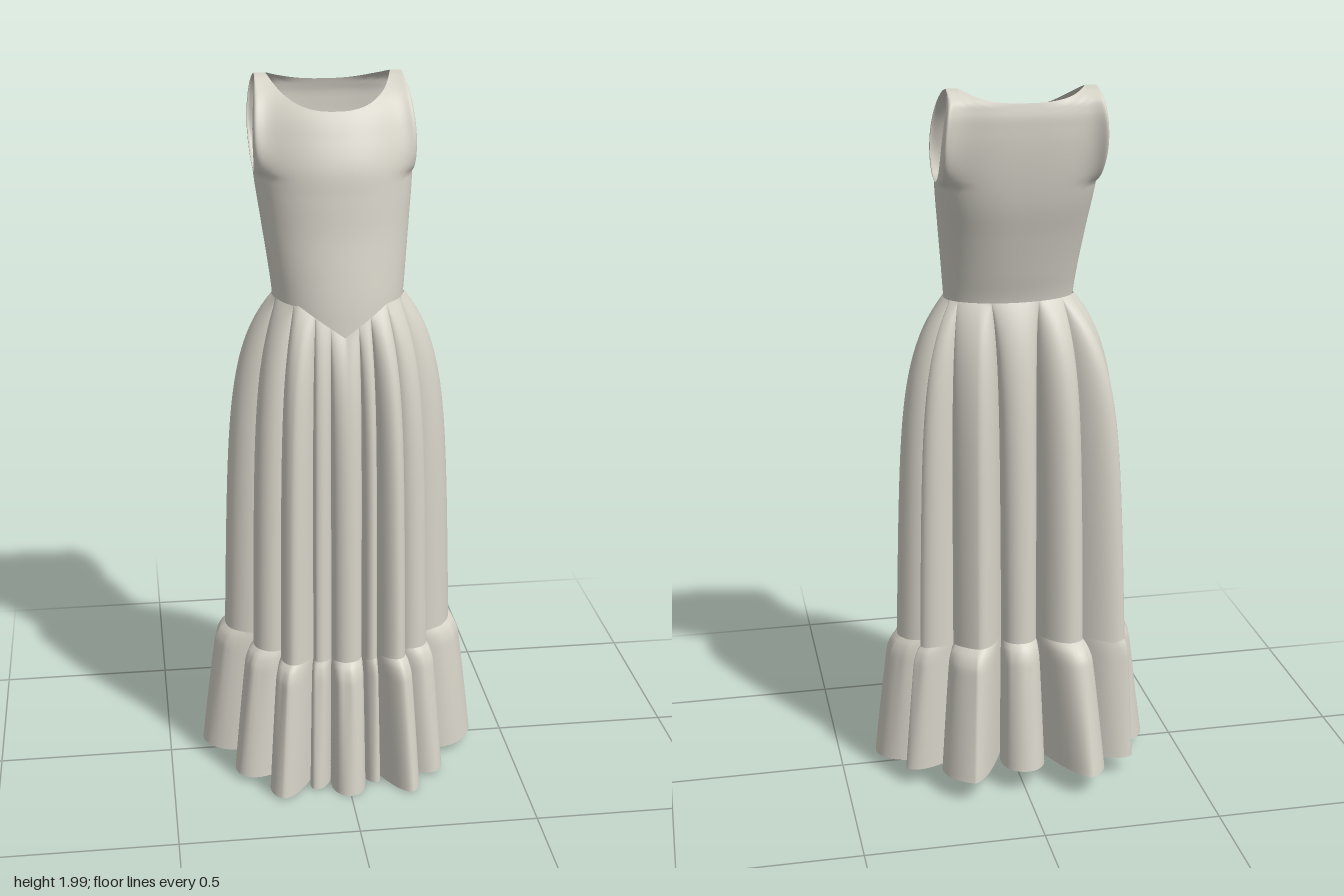
import * as THREE from 'three';
import { mergeGeometries, mergeVertices } from 'three/addons/utils/BufferGeometryUtils.js';

const fabric = new THREE.MeshStandardMaterial({ color: 0xd6d3c8, side: THREE.DoubleSide });
fabric.name = 'ivory fabric';

const lerp = THREE.MathUtils.lerp;

// Smooth curve through [position, value] pairs
function curve(pairs) {
  const c = new THREE.CubicInterpolant(pairs.map(p => p[0]), pairs.map(p => p[1]), 1);
  return t => c.evaluate(t)[0];
}

// Sheet of points: columns run counter-clockwise round the body, rows run down
function sheet(cols, rows, point, closed) {
  const pos = [], index = [];
  const n = closed ? cols : cols + 1;
  for (let j = 0; j <= rows; j++)
    for (let i = 0; i < n; i++) pos.push(...point(i, j / rows));
  for (let j = 0; j < rows; j++)
    for (let i = 0; i < cols; i++) {
      const k = (i + 1) % n;
      const a = j * n + i, b = j * n + k, c = a + n, d = b + n;
      index.push(a, c, b, b, c, d);
    }
  const g = new THREE.BufferGeometry();
  g.setAttribute('position', new THREE.Float32BufferAttribute(pos, 3));
  g.setIndex(index);
  return g;
}

function addMesh(group, geometry, name) {
  geometry.computeVertexNormals();
  const m = new THREE.Mesh(geometry, fabric);
  m.name = name;
  group.add(m);
}

// Bodice outline curves by height
const halfWidth = curve([[1.33, .175], [1.42, .18], [1.5, .188], [1.62, .202], [1.75, .216], [1.86, .219], [1.95, .21], [2, .2]]);
const frontZ = curve([[1.33, .168], [1.42, .16], [1.5, .148], [1.6, .132], [1.7, .122], [1.78, .112], [1.85, .085], [1.92, .045], [1.96, .002], [1.98, -.045], [2, -.116]]);
const backZ = curve([[1.33, -.09], [1.42, -.1], [1.5, -.122], [1.6, -.15], [1.7, -.178], [1.8, -.195], [1.9, -.202], [1.95, -.198], [1.98, -.18], [2, -.116]]);
const seamZ = curve([[1.33, 0], [1.42, 0], [1.6, -.025], [1.75, -.054], [1.875, -.085], [2, -.116]]);
const backCurve = curve([[1.4, 2], [1.6, 2.3], [1.8, 3], [2, 3]]);

// Pointed waistline: dips at the centre front
const waistY = (u, front) => (front ? 1.335 + .08 * Math.min(1, Math.abs(u) / .65) : 1.415);

// Front or back panel, with the armhole cut into its side edges
function panel(front) {
  const cols = 56;
  return sheet(cols, 60, (i, t) => {
    const u = Math.sin((i / cols - .5) * Math.PI) * (front ? 1 : -1);
    const neck = Math.min(1, Math.abs(u) / .84);
    const low = front ? 1.92 : 1.968;
    const y = lerp(lerp(low, 2, neck ** 2.6), waistY(u, front), t);
    const p = front ? 2.15 : backCurve(y);
    const bow = Math.max(0, 1 - Math.abs(u) ** p) ** (1 / p);
    const arm = Math.sqrt(Math.max(0, 1 - ((y - 1.875) / .125) ** 2)) * (front ? .09 : -.088);
    const z = lerp(seamZ(y), front ? frontZ(y) : backZ(y), bow) + arm * Math.abs(u) ** 8;
    return [u * halfWidth(y) - .02 * Math.max(0, y - 1.45), y, z];
  }, false);
}

// Each fold: crest at the hem, crest at the skirt seam, valley that follows (x, z)
const folds = [
  { hem: [0, .32], skirt: [0, .25], valley: [.045, .21] },
  { hem: [.085, .26], skirt: [.075, .235], valley: [.085, .2] },
  { hem: [.18, .325], skirt: [.15, .25], valley: [.16, .19] },
  { hem: [.27, .23], skirt: [.23, .18], valley: [.2, .1] },
  { hem: [.4, .01], skirt: [.33, 0], valley: [.22, -.075] },
  { hem: [.33, -.14], skirt: [.28, -.12], valley: [.2, -.13] },
  { hem: [.16, -.297], skirt: [.13, -.2], valley: [.045, -.115] },
  { hem: [-.005, -.27], skirt: [0, -.195], valley: [-.045, -.115] },
  { hem: [-.18, -.328], skirt: [-.16, -.207], valley: [-.19, -.17] },
  { hem: [-.325, -.205], skirt: [-.3, -.19], valley: [-.22, -.1] },
  { hem: [-.403, -.01], skirt: [-.33, -.01], valley: [-.22, .06] },
  { hem: [-.31, .185], skirt: [-.25, .145], valley: [-.17, .16] },
  { hem: [-.2, .315], skirt: [-.165, .25], valley: [-.095, .2] },
  { hem: [-.1, .275], skirt: [-.085, .235], valley: [-.045, .21] },
];
const STEPS = 20;
const COLS = folds.length * STEPS;

// Point on the folded outline: rounded crests meeting in sharp valleys
function foldPoint(i, level, valleyScale) {
  const k = Math.floor(i / STEPS), s = (i % STEPS) / STEPS;
  const [vx, vz] = folds[k].valley;
  const [cx, cz] = folds[s <= .5 ? k : (k + 1) % folds.length][level];
  const q = (s <= .5 ? s : 1 - s) * Math.PI;
  const crest = Math.atan2(cx, cz), turn = Math.atan2(vx, vz) - crest;
  const angle = crest + Math.atan2(Math.sin(turn), Math.cos(turn)) * Math.sin(q);
  const radius = lerp(Math.hypot(vx, vz) * valleyScale, Math.hypot(cx, cz), Math.cos(q));
  return [radius * Math.sin(angle), radius * Math.cos(angle), angle];
}
const skirtPoint = i => foldPoint(i, 'skirt', .92);
const hemPoint = i => foldPoint(i, 'hem', 1);

// 0 at the front, 1 at the back
const backness = a => (1 - Math.cos(a)) / 2;

// Gathered main skirt, from the waist to the flounce seam
function skirt() {
  return sheet(COLS, 56, (i, t0) => {
    const t = t0 ** 1.4;
    const [sx, sz, a] = skirtPoint(i);
    const c = Math.cos(a), s = Math.sin(a);
    const g = .8 * (1 - Math.exp(-7 * t)) + .2 * t;
    const top = waistY(s, c > 0) + .004;
    const x = lerp(.182 * s, sx, g);
    const z = lerp(c * (c > 0 ? .163 : .1), sz, g);
    return [x, lerp(top, .395 + .045 * backness(a), t), z];
  }, true);
}

// Flared flounce with a puffed gathered heading
function flounce() {
  return sheet(COLS, 28, (i, t) => {
    const puff = t < .12 ? Math.sqrt(t / .12) : 1;
    const f = .3 * puff + .7 * t ** .9;
    const [sx, sz] = skirtPoint(i), [hx, hz, a] = hemPoint(i);
    const b = backness(a);
    const ripple = 1 + .012 * Math.sin(a * 43) * (1 - t) * puff;
    const y = lerp(.405 + .045 * b, .012 + .07 * b, t);
    return [lerp(sx * .99, hx, f) * ripple, y, lerp(sz * .99, hz, f) * ripple];
  }, true);
}

export function createModel() {
  const dress = new THREE.Group();
  dress.name = 'dress';
  addMesh(dress, mergeVertices(mergeGeometries([panel(true), panel(false)]), 1e-4), 'bodice');
  addMesh(dress, skirt(), 'skirt');
  addMesh(dress, flounce(), 'flounce');
  return dress;
}
